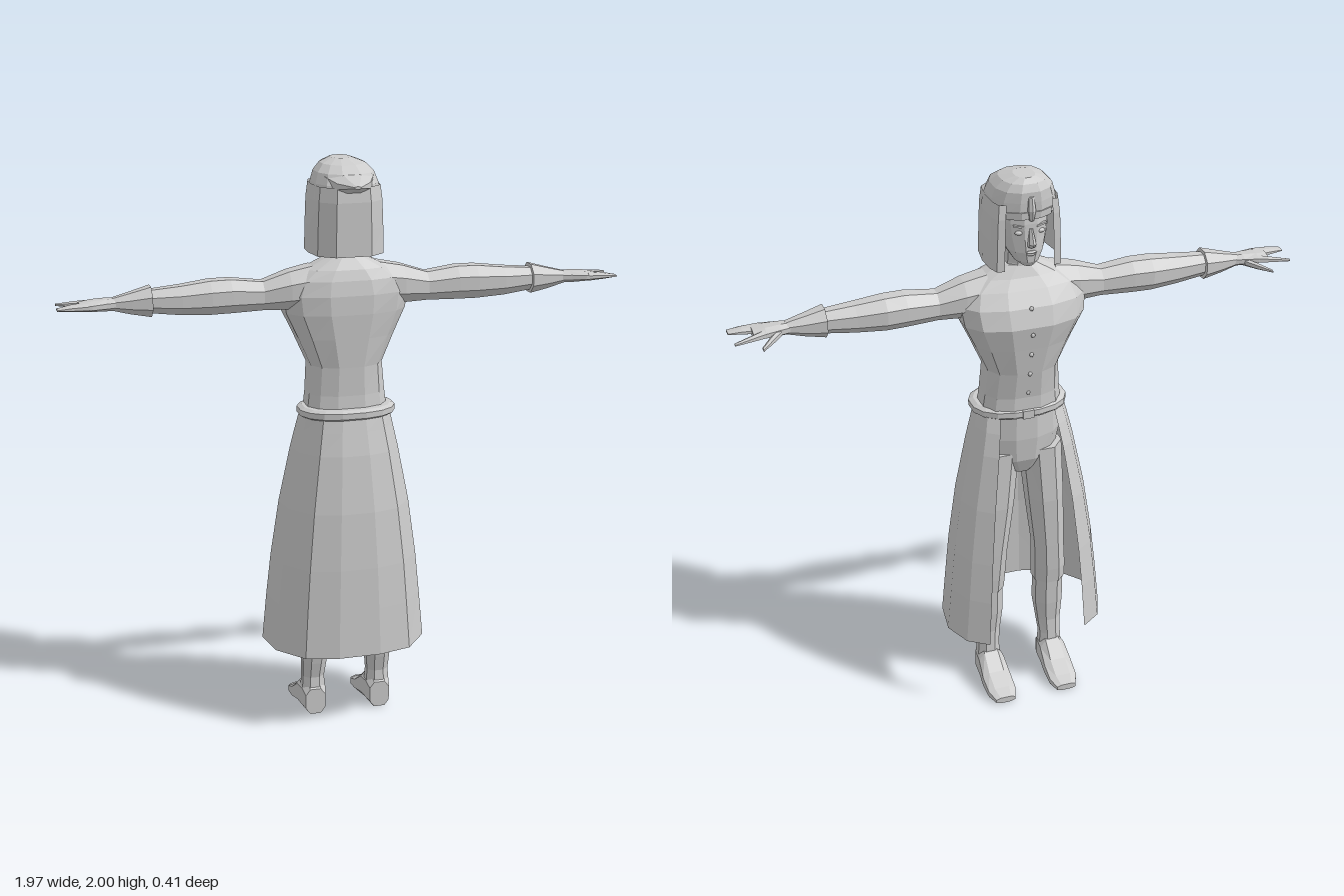
import * as THREE from 'three';

const cloth = new THREE.MeshStandardMaterial({ color: 0xcccccc, side: THREE.DoubleSide });
cloth.name = 'pale grey';

// Faceted skin over rings of points; rings run from low to high along their axis
function skin(rings, { closed = true, caps = true } = {}) {
  const pos = [], n = rings[0].length, last = rings.length - 1;
  const tri = (a, b, c) => pos.push(...a, ...b, ...c);
  for (let i = 0; i < last; i++) {
    for (let j = 0; j < (closed ? n : n - 1); j++) {
      const k = (j + 1) % n, a = rings[i], b = rings[i + 1];
      tri(a[j], b[j], a[k]);
      tri(a[k], b[j], b[k]);
    }
  }
  if (closed && caps) {
    for (const r of [rings[0], rings[last]]) {
      const mid = [0, 1, 2].map((d) => r.reduce((s, p) => s + p[d], 0) / n);
      for (let j = 0; j < n; j++) {
        const k = (j + 1) % n;
        if (r === rings[0]) tri(mid, r[j], r[k]);
        else tri(mid, r[k], r[j]);
      }
    }
  }
  const g = new THREE.BufferGeometry();
  g.setAttribute('position', new THREE.Float32BufferAttribute(pos, 3));
  g.computeVertexNormals();
  return g;
}

// Sections [t, centreA, centreB, radiusA, radiusB]; (A, B) is x,z on y / z,y on x / y,x on z
function loft(axis, sections, n = 10, power = 1, caps = true) {
  const bend = (v) => Math.sign(v) * Math.abs(v) ** power;
  return skin(sections.map(([t, ca, cb, ra, rb]) =>
    Array.from({ length: n }, (_, j) => {
      const w = ((j + 0.5) / n) * Math.PI * 2;
      const a = ca + ra * bend(Math.cos(w)), b = cb + rb * bend(Math.sin(w));
      return axis === 'y' ? [a, t, b] : axis === 'x' ? [t, b, a] : [b, a, t];
    })), { caps });
}

// Open sheet hung from a half outline that starts at the front edge on +x
function curtain(half, levels) {
  const plan = [...half, ...half.slice().reverse().map(([x, z]) => [-x, z])];
  return skin(levels.map(([y, sx, sz, dz]) => plan.map(([x, z]) => [x * sx, y, z * sz + dz])), { closed: false });
}

function add(parent, name, geometry, x = 0, y = 0, z = 0) {
  const m = new THREE.Mesh(geometry, cloth);
  m.name = name;
  m.position.set(x, y, z);
  parent.add(m);
  return m;
}

// Arm, cuff and hand on the +x side
function buildArm() {
  const arm = new THREE.Group();
  add(arm, 'sleeve', loft('x', [
    [0.12, 0, 1.575, 0.08, 0.078], [0.2, 0, 1.566, 0.072, 0.07], [0.29, 0, 1.552, 0.052, 0.053],
    [0.4, -0.003, 1.557, 0.06, 0.062], [0.47, -0.004, 1.556, 0.062, 0.062],
    [0.57, 0, 1.553, 0.052, 0.053], [0.69, 0, 1.555, 0.038, 0.04]], 8));
  add(arm, 'cuff', loft('x', [
    [0.67, 0, 1.555, 0.056, 0.055], [0.74, 0, 1.552, 0.04, 0.038], [0.8, 0, 1.552, 0.026, 0.022]], 8));
  add(arm, 'palm', loft('x', [
    [0.77, 0, 1.552, 0.024, 0.021], [0.82, 0, 1.552, 0.036, 0.022],
    [0.87, 0.002, 1.552, 0.049, 0.019], [0.91, 0.01, 1.552, 0.042, 0.014]], 8));
  add(arm, 'fingers', loft('x', [
    [0.88, 0.022, 1.552, 0.03, 0.016], [0.94, 0.027, 1.552, 0.025, 0.011], [0.985, 0.03, 1.55, 0.018, 0.004]], 8));
  add(arm, 'indexFinger', loft('x', [
    [0.87, -0.025, 1.552, 0.02, 0.014], [0.92, -0.043, 1.55, 0.013, 0.01], [0.978, -0.06, 1.547, 0.008, 0.004]], 6));
  add(arm, 'thumb', loft('x', [
    [0.82, -0.022, 1.548, 0.016, 0.014], [0.855, -0.052, 1.54, 0.018, 0.012], [0.895, -0.097, 1.534, 0.012, 0.005]], 6));
  return arm;
}

// Trouser leg, calf and foot on the +x side
function buildLeg() {
  const leg = new THREE.Group();
  add(leg, 'trouserLeg', loft('y', [
    [0.38, 0.117, 0.012, 0.061, 0.062], [0.44, 0.115, 0.005, 0.062, 0.063], [0.55, 0.108, -0.005, 0.06, 0.062],
    [0.75, 0.093, -0.005, 0.07, 0.077], [0.97, 0.078, 0.005, 0.077, 0.09]], 8));
  add(leg, 'calf', loft('y', [
    [0.07, 0.12, 0, 0.047, 0.042], [0.14, 0.12, 0, 0.042, 0.036], [0.2, 0.118, 0.01, 0.047, 0.042],
    [0.28, 0.116, 0.014, 0.056, 0.055], [0.39, 0.116, 0.01, 0.056, 0.056]], 8));
  add(leg, 'foot', loft('z', [
    [-0.2, 0.012, 0.118, 0.012, 0.038], [-0.16, 0.02, 0.119, 0.02, 0.054], [-0.1, 0.035, 0.12, 0.035, 0.055],
    [-0.04, 0.06, 0.12, 0.06, 0.05], [0.015, 0.063, 0.12, 0.063, 0.046], [0.042, 0.05, 0.12, 0.05, 0.038]], 8, 0.7));
  return leg;
}

function mirrored(parent, name, build) {
  for (const s of [1, -1]) {
    const g = build();
    g.name = (s > 0 ? 'left' : 'right') + name;
    g.scale.x = s;
    parent.add(g);
  }
}

// Face and head covering; the face looks toward -z
function buildHead() {
  const head = new THREE.Group();
  head.name = 'head';
  add(head, 'neck', loft('y', [[1.62, 0, 0, 0.07, 0.06], [1.68, 0, -0.008, 0.05, 0.045], [1.78, 0, -0.015, 0.046, 0.045]], 8));
  add(head, 'face', loft('y', [
    [1.698, 0, -0.085, 0.022, 0.03], [1.715, 0, -0.07, 0.044, 0.056], [1.75, 0, -0.05, 0.066, 0.08],
    [1.8, 0, -0.038, 0.08, 0.09], [1.85, 0, -0.034, 0.087, 0.094], [1.92, 0, -0.03, 0.09, 0.09]], 12));
  add(head, 'nose', loft('y', [
    [1.772, 0, -0.127, 0.014, 0.015], [1.785, 0, -0.132, 0.014, 0.022], [1.835, 0, -0.121, 0.006, 0.01]], 6));
  for (const [name, y, z, w] of [['upperLip', 1.753, -0.126, 0.021], ['lowerLip', 1.744, -0.123, 0.017]]) {
    add(head, name, loft('y', [[y - 0.005, 0, z, w * 0.6, 0.006], [y, 0, z, w, 0.012], [y + 0.005, 0, z, w * 0.6, 0.006]], 6));
  }
  for (const s of [1, -1]) {
    const eye = add(head, 'eye', new THREE.SphereGeometry(0.016, 8, 6), s * 0.037, 1.82, -0.113);
    eye.scale.set(1, 0.5, 0.6);
    const brow = add(head, 'eyebrow', new THREE.BoxGeometry(0.04, 0.006, 0.009), s * 0.038, 1.843, -0.117);
    brow.rotation.set(0, s * -0.3, s * 0.12, 'YXZ');
  }

  // Hanging sides and back of the hood
  add(head, 'hoodDrape', curtain(
    [[0.083, -0.112], [0.108, -0.108], [0.12, -0.07], [0.123, 0], [0.112, 0.078], [0.06, 0.12]],
    [[1.688, 1.03, 1, 0], [1.78, 1.01, 1, 0], [1.87, 0.98, 1, 0], [1.92, 0.93, 0.95, 0]]));
  add(head, 'hoodCrown', loft('y', [
    [1.875, 0, -0.002, 0.12, 0.124], [1.925, 0, -0.008, 0.112, 0.121], [1.96, 0, -0.018, 0.1, 0.111],
    [1.985, 0, -0.032, 0.076, 0.085], [2, 0, -0.052, 0.035, 0.045]], 12, 0.85));
  add(head, 'hoodPeak', loft('z', [
    [0, 1.945, 0, 0.04, 0.1], [0.06, 1.936, 0, 0.037, 0.09], [0.115, 1.926, 0, 0.026, 0.062],
    [0.163, 1.927, 0, 0.005, 0.012]], 8));
  add(head, 'foreheadBand', loft('y', [[1.868, 0, -0.03, 0.102, 0.1], [1.893, 0, -0.03, 0.106, 0.102]], 12, 0.85));
  add(head, 'browOrnament', loft('y', [
    [1.865, 0, -0.127, 0.008, 0.012], [1.9, 0, -0.13, 0.014, 0.015], [1.945, 0, -0.122, 0.011, 0.012]], 6));
  return head;
}

export function createModel() {
  const model = new THREE.Group();
  model.name = 'robedFigure';
  model.add(buildHead());

  add(model, 'torso', loft('y', [
    [1.12, 0, 0, 0.148, 0.1], [1.2, 0, -0.004, 0.138, 0.098], [1.3, 0, -0.012, 0.13, 0.108],
    [1.4, 0, -0.018, 0.175, 0.119], [1.485, 0, -0.024, 0.216, 0.129], [1.55, 0, -0.014, 0.225, 0.117],
    [1.6, 0, -0.002, 0.205, 0.094], [1.635, 0, 0.004, 0.15, 0.074], [1.675, 0, 0, 0.062, 0.05]], 12, 0.8));
  mirrored(model, 'Arm', buildArm);

  // Button row down the chest
  for (const [y, z] of [[1.22, -0.102], [1.3, -0.121], [1.38, -0.134], [1.46, -0.15], [1.55, -0.132]]) {
    add(model, 'button', new THREE.SphereGeometry(0.008, 6, 4), 0, y, z);
  }

  // Hips, legs and feet
  add(model, 'hips', loft('y', [
    [0.88, 0, 0.005, 0.05, 0.06], [0.94, 0, 0.006, 0.13, 0.09], [1.03, 0, 0.005, 0.15, 0.1], [1.13, 0, 0.005, 0.146, 0.102]], 12));
  mirrored(model, 'Leg', buildLeg);

  add(model, 'belt', loft('y', [
    [1.122, 0, 0.014, 0.16, 0.113], [1.128, 0, 0.014, 0.171, 0.12],
    [1.148, 0, 0.014, 0.171, 0.12], [1.156, 0, 0.014, 0.155, 0.108]], 16, 0.85));
  add(model, 'buckle', new THREE.BoxGeometry(0.04, 0.03, 0.012), 0, 1.138, -0.106);

  // Long skirt, open at the front
  add(model, 'skirt', curtain(
    [[0.18, -0.21], [0.25, -0.16], [0.29, -0.06], [0.272, 0.07], [0.19, 0.175], [0.075, 0.205]],
    [[0.28, 1, 1, 0], [0.45, 0.945, 0.965, 0], [0.6, 0.89, 0.92, 0.003], [0.8, 0.79, 0.83, 0.006],
      [1, 0.65, 0.69, 0.008], [1.08, 0.585, 0.6, 0.01], [1.13, 0.545, 0.53, 0.014]]));
  return model;
}
